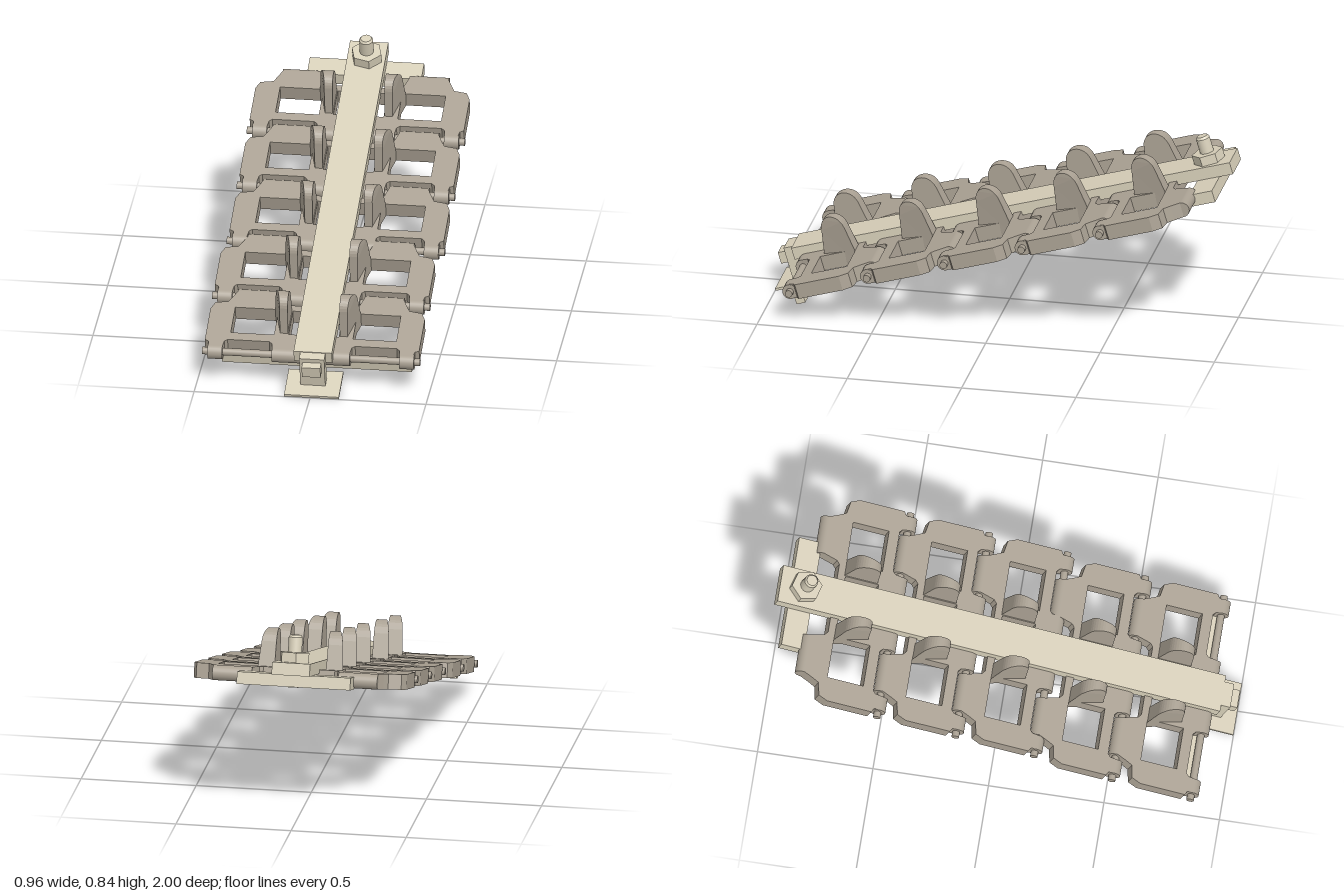
import * as THREE from 'three';

const beige = new THREE.MeshStandardMaterial({ color: 0xd8d0ba });
const steel = new THREE.MeshStandardMaterial({ color: 0xaba294 });
const PITCH = 0.3545; // distance between hinge pins
const HALF = 0.033;   // half thickness of a link

// Local frame: x across, y normal to the track, s = distance up the slope (-z)
function mesh(parent, name, geometry, material, x = 0, y = 0, s = 0) {
  const m = new THREE.Mesh(geometry, material);
  m.name = name;
  m.position.set(x, y, -s);
  parent.add(m);
  return m;
}

function block(parent, name, material, x0, x1, y0, y1, s0, s1) {
  return mesh(parent, name, new THREE.BoxGeometry(x1 - x0, y1 - y0, s1 - s0), material,
    (x0 + x1) / 2, (y0 + y1) / 2, (s0 + s1) / 2);
}

function rod(parent, name, material, radius, x0, x1, s) {
  const g = new THREE.CylinderGeometry(radius, radius, x1 - x0, 24).rotateZ(Math.PI / 2);
  return mesh(parent, name, g, material, (x0 + x1) / 2, 0, s);
}

const points = list => list.map(([a, b]) => new THREE.Vector2(a, b));
const rect = (x0, x1, y0, y1) => new THREE.Path(points([[x0, y0], [x0, y1], [x1, y1], [x1, y0]]));

// Flat link plate with three windows, mirrored about its middle
function plateGeometry() {
  const half = [[0.168, 0], [0.172, 0.03], [0.185, 0.042], [0.365, 0.042], [0.378, 0.03], [0.382, 0],
    [0.44, 0], [0.445, 0.025], [0.462, 0.035], [0.462, 0.235], [0.445, 0.275], [0.39, 0.285],
    [0.375, 0.315], [0.358, 0.354], [0.188, 0.354], [0.17, 0.292], [0.155, 0.28]];
  const mirrored = half.map(([x, s]) => [-x, s]).reverse();
  const shape = new THREE.Shape(points([...half, ...mirrored]));
  shape.holes.push(rect(-0.108, 0.108, 0.095, 0.245));
  for (const [a, b] of [[0.17, 0.357], [-0.357, -0.17]]) shape.holes.push(rect(a, b, 0.088, 0.25));
  return new THREE.ExtrudeGeometry(shape, { depth: 2 * HALF, bevelEnabled: false })
    .rotateX(-Math.PI / 2).translate(0, -HALF, 0);
}

// Guide horn: rounded outline, flat on the inside, thinner at the front and crown
function hornGeometry(side) {
  const shape = new THREE.Shape();
  shape.moveTo(0.088, -HALF);
  shape.lineTo(0.1, 0.03);
  shape.lineTo(0.12, 0.14);
  shape.bezierCurveTo(0.125, 0.215, 0.215, 0.215, 0.231, 0.14);
  shape.lineTo(0.25, 0.03);
  shape.lineTo(0.252, -HALF);
  const g = new THREE.ExtrudeGeometry(shape, { depth: 1, bevelEnabled: false, curveSegments: 14 })
    .rotateY(Math.PI / 2);
  const p = g.attributes.position;
  for (let i = 0; i < p.count; i++) {
    const t = THREE.MathUtils.clamp((-p.getZ(i) - 0.09) / 0.13, 0, 1);
    const h = Math.max(0, p.getY(i)) / 0.19;
    const thickness = (0.03 + 0.043 * t) * (1 - 0.22 * h * h);
    // keep the solid facing outwards on both sides
    const far = p.getX(i) > 0.5;
    p.setX(i, side > 0 ? 0.112 + (far ? thickness : 0) : -0.112 - (far ? 0 : thickness));
  }
  g.computeVertexNormals();
  return g;
}

const plate = plateGeometry();
const horns = { '1': hornGeometry(1), '-1': hornGeometry(-1) };

function link(name) {
  const g = new THREE.Group();
  g.name = name;
  mesh(g, 'linkPlate', plate, steel);
  // hinge barrels at the front, and the pin running through them
  rod(g, 'centreBarrel', steel, HALF, -0.168, 0.168, 0);
  rod(g, 'hingePin', steel, 0.016, -0.47, 0.47, 0);
  for (const side of [1, -1]) {
    const span = (a, b) => side > 0 ? [a, b] : [-b, -a];
    rod(g, 'outerBarrel', steel, HALF, ...span(0.382, 0.445), 0);
    rod(g, 'rearKnuckle', steel, HALF, ...span(0.188, 0.358), 0.354);
    mesh(g, 'guideHorn', horns[side], steel);
  }
  return g;
}

export function createModel() {
  const model = new THREE.Group();
  model.name = 'trackSection';
  const slope = new THREE.Group();
  slope.name = 'slopedAssembly';
  slope.rotation.x = 0.287;
  slope.position.set(0, 0.135, 0.87);
  model.add(slope);

  // Five links, the lower two set slightly to one side
  for (let i = 0; i < 5; i++) {
    const l = link('trackLink' + (i + 1));
    l.position.set(i < 2 ? -0.011 : 0.009, 0, -i * PITCH);
    slope.add(l);
  }

  // Clamping bar with its upper crossbeam
  block(slope, 'clampBar', beige, -0.079, 0.086, 0.015, 0.069, -0.05, 1.948);
  block(slope, 'upperCrossbeam', beige, -0.247, 0.246, -0.037, 0.016, 1.785, 1.887);

  // Bolt and hexagonal nut
  const bolt = new THREE.Group();
  bolt.name = 'clampBolt';
  bolt.position.set(0.007, 0, -1.84);
  slope.add(bolt);
  mesh(bolt, 'boltShank', new THREE.CylinderGeometry(0.03, 0.03, 0.215, 24), beige, 0, 0.0675);
  mesh(bolt, 'boltTip', new THREE.CylinderGeometry(0.023, 0.03, 0.01, 24), beige, 0, 0.18);
  const nut = new THREE.CylinderGeometry(0.068, 0.068, 0.042, 6).toNonIndexed();
  nut.computeVertexNormals();
  mesh(bolt, 'hexNut', nut, beige, 0, 0.09).rotation.y = 0.25;

  // Lower bracket: foot plate, post, square catch and the strip under the first link
  block(slope, 'footPlate', beige, -0.112, 0.124, -0.094, -0.083, -0.16, 0.005);
  block(slope, 'bracketPost', beige, -0.05, 0.058, -0.085, 0.066, -0.092, -0.043);
  block(slope, 'squareCatch', beige, -0.036, 0.044, -0.006, 0.046, -0.127, -0.09);
  block(slope, 'lowerStrip', beige, -0.4, 0.42, -0.066, -0.02, 0.008, 0.048);
  return model;
}
